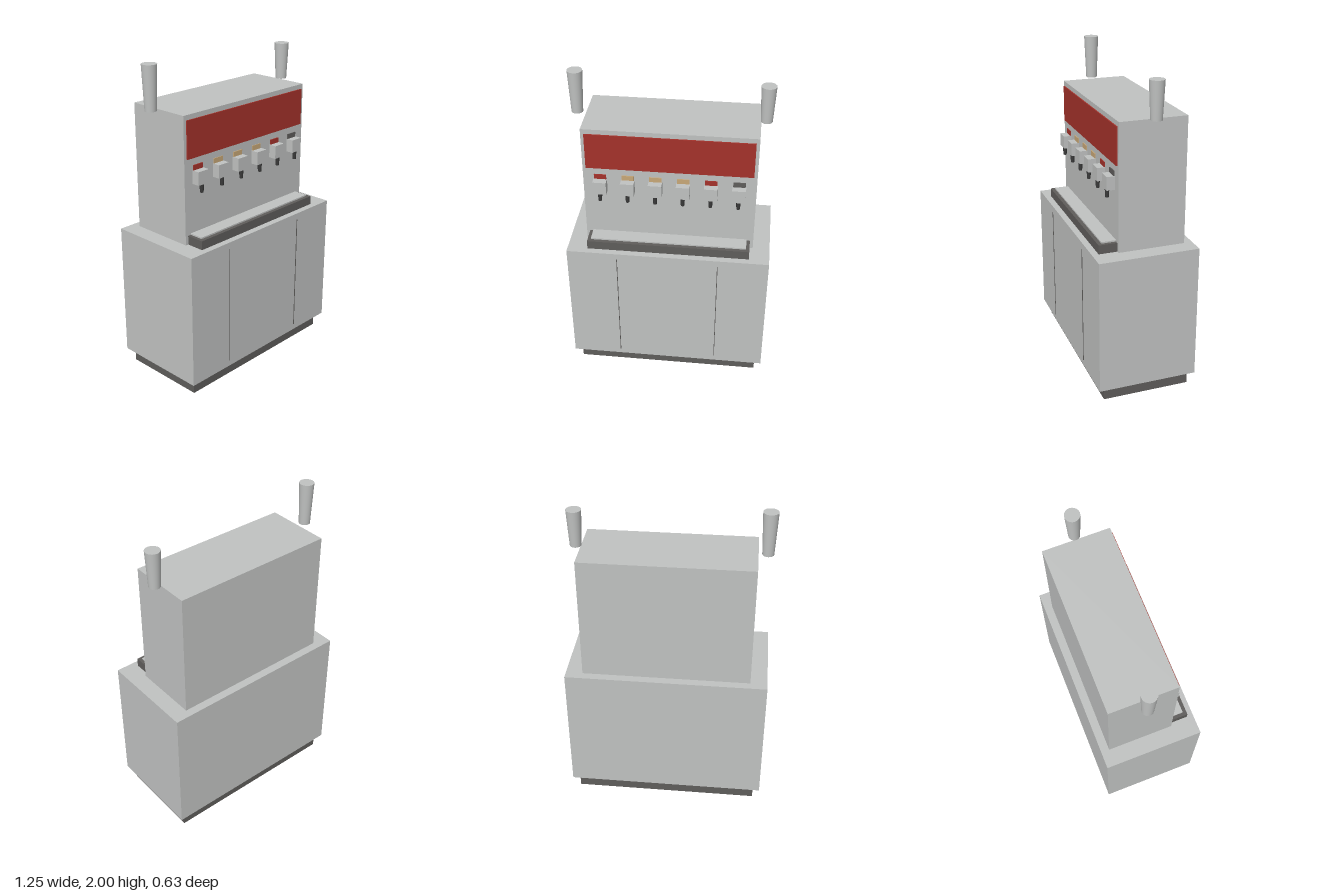
import * as THREE from 'three';

const mat = (name, color) => {
  const m = new THREE.MeshStandardMaterial({ color });
  m.name = name;
  return m;
};

export function createModel() {
  const steel = mat('steel', 0xc0c2c1);
  const dark = mat('darkGrey', 0x5f5d5b);
  const black = mat('nozzleBlack', 0x3a3a3a);
  const red = mat('red', 0xa5322b);
  const tan = mat('tan', 0xc8a878);

  const model = new THREE.Group();
  model.name = 'drinkDispenser';

  // Box given by its limits on each axis
  const box = (name, material, [x0, x1], [y0, y1], [z0, z1], parent = model) => {
    const mesh = new THREE.Mesh(new THREE.BoxGeometry(x1 - x0, y1 - y0, z1 - z0), material);
    mesh.position.set((x0 + x1) / 2, (y0 + y1) / 2, (z0 + z1) / 2);
    mesh.name = name;
    parent.add(mesh);
    return mesh;
  };

  // Cabinet and dispenser body
  box('plinth', dark, [-0.585, 0.585], [0, 0.09], [-0.28, 0.272]);
  box('cabinet', steel, [-0.627, 0.627], [0.09, 0.942], [-0.313, 0.313]);
  box('dispenserBody', steel, [-0.522, 0.522], [0.942, 1.73], [-0.261, 0.157]);
  box('signPanel', red, [-0.502, 0.502], [1.47, 1.70], [0.157, 0.165]);

  // Door seams
  for (const x of [-0.313, 0.313]) {
    box('doorSeam', dark, [x - 0.002, x + 0.002], [0.13, 0.9], [0.313, 0.316]);
  }

  // Drip tray with its grate
  box('dripTray', dark, [-0.502, 0.502], [0.942, 0.998], [0.157, 0.272]);
  box('dripGrate', steel, [-0.481, 0.481], [0.998, 1.007], [0.157, 0.248]);

  // Row of taps, each with a flavour label and a nozzle
  [red, tan, tan, tan, red, dark].forEach((label, i) => {
    const tap = new THREE.Group();
    tap.name = 'tap';
    tap.position.x = -0.418 + i * 0.1672;
    box('tapLabel', label, [-0.037, 0.037], [1.385, 1.426], [0.157, 0.163], tap);
    box('tapValve', steel, [-0.041, 0.041], [1.312, 1.395], [0.157, 0.207], tap);
    const nozzle = new THREE.Mesh(new THREE.CylinderGeometry(0.014, 0.011, 0.054, 12), black);
    nozzle.name = 'tapNozzle';
    nozzle.position.set(0, 1.286, 0.19);
    tap.add(nozzle);
    model.add(tap);
  });

  // Cup stacks beside the top of the body
  for (const [x, height] of [[-0.577, 0.27], [0.553, 0.23]]) {
    const cups = new THREE.Mesh(new THREE.CylinderGeometry(0.046, 0.035, height, 20), steel);
    cups.name = 'cupStack';
    cups.position.set(x, 1.73 + height / 2, -0.053);
    model.add(cups);
  }

  return model;
}
